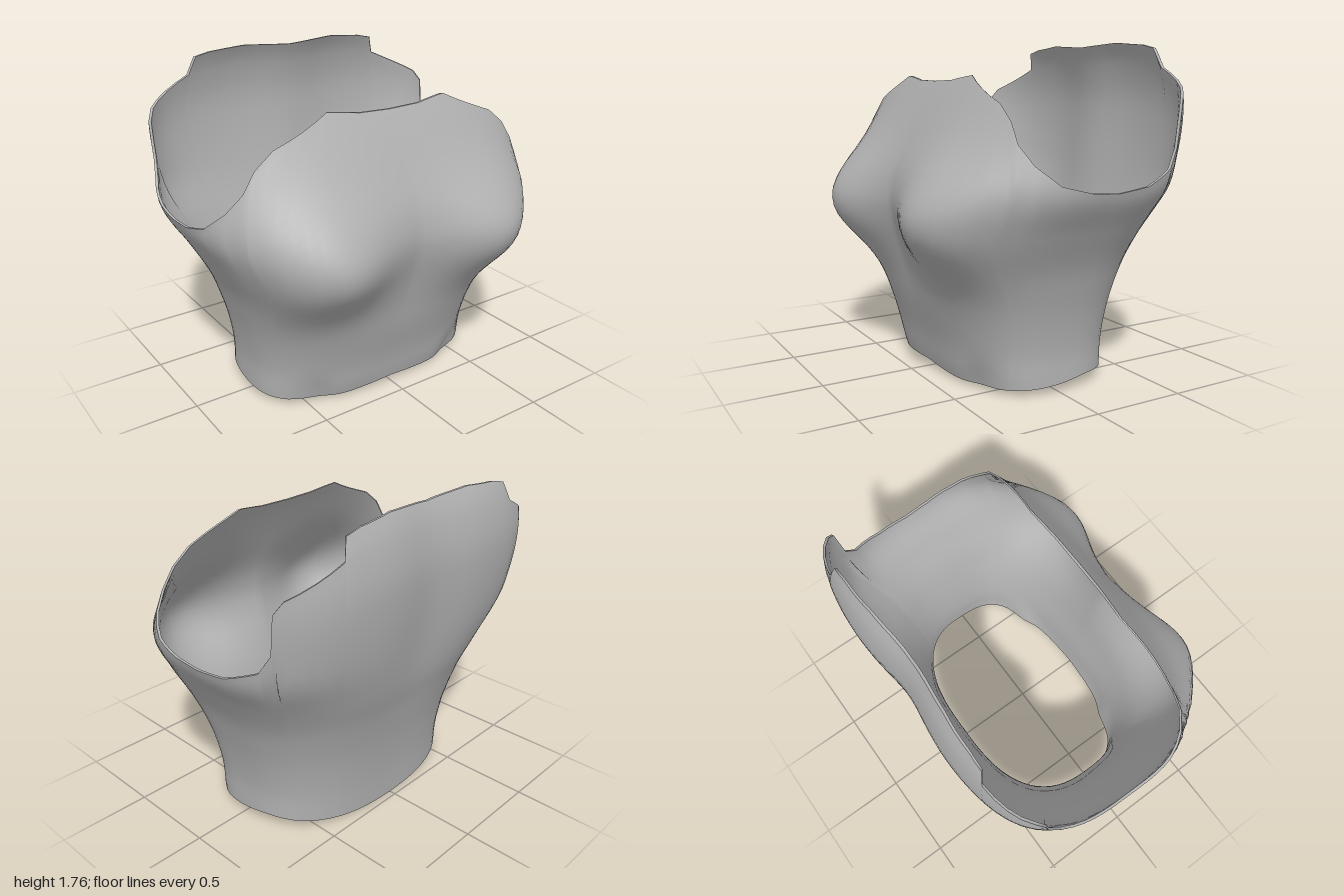
import * as THREE from 'three';

const RAD = Math.PI / 180;

// Table lookup over [key, value] pairs: straight, or eased through neighbour slopes
function lookup(table, k, smooth = true) {
  const n = table.length - 1;
  if (k <= table[0][0]) return table[0][1];
  if (k >= table[n][0]) return table[n][1];
  let i = 0;
  while (k > table[i + 1][0]) i++;
  const [k0, a] = table[i], [k1, b] = table[i + 1];
  const h = k1 - k0, t = (k - k0) / h;
  if (!smooth) return a + (b - a) * t;
  const slope = (j) => {
    const p = table[Math.max(j - 1, 0)], q = table[Math.min(j + 1, n)];
    return (q[1] - p[1]) / (q[0] - p[0]);
  };
  const t2 = t * t, t3 = t2 * t;
  return a * (2 * t3 - 3 * t2 + 1) + b * (3 * t2 - 2 * t3) +
    h * (slope(i) * (t3 - 2 * t2 + t) + slope(i + 1) * (t3 - t2));
}

// Half width, front depth and back depth against height
const WIDTH = [[0, 0.69], [0.06, 0.69], [0.2, 0.688], [0.36, 0.71], [0.5, 0.745], [0.66, 0.8],
  [0.85, 0.9], [1.03, 1.0], [1.2, 1.0], [1.5, 1.0], [1.76, 0.98]];
const FRONT = [[0, 0.38], [0.05, 0.4], [0.2, 0.43], [0.4, 0.485], [0.55, 0.515], [0.7, 0.545],
  [0.85, 0.58], [0.95, 0.593], [1.1, 0.57], [1.3, 0.48], [1.48, 0.385], [1.58, 0.325]];
const BACK = [[0, 0.465], [0.15, 0.475], [0.3, 0.495], [0.45, 0.525], [0.65, 0.585], [0.8, 0.64],
  [1.0, 0.69], [1.2, 0.722], [1.4, 0.737], [1.5, 0.733], [1.6, 0.715], [1.7, 0.685], [1.76, 0.65]];

// Upper edge from front centre, round the armhole, to back centre: x, z, height
const EDGE = [[0, 0.335, 1.55], [0.18, 0.33, 1.555], [0.36, 0.315, 1.578], [0.65, 0.33, 1.45],
  [0.76, 0.335, 1.37], [0.84, 0.34, 1.27], [0.92, 0.3, 1.18], [0.97, 0.2, 1.09], [1, 0.05, 1.05],
  [1, -0.1, 1.04], [0.99, -0.28, 1.06], [0.95, -0.46, 1.13], [0.92, -0.52, 1.23], [0.92, -0.54, 1.43],
  [0.88, -0.57, 1.49], [0.61, -0.66, 1.62], [0.6, -0.66, 1.72], [0.5, -0.65, 1.74],
  [0.29, -0.64, 1.757], [0, -0.62, 1.74]].map(([x, z, y]) => [Math.atan2(x, z) / RAD, y]);
// Hem height against angle
const HEM = [[0, 0.04], [46, 0.02], [60, 0.025], [90, 0.045], [105, 0.065], [125, 0.04], [150, 0.012], [180, 0]];

const bell = (d, s) => Math.exp(-0.5 * (d / s) ** 2);

// Point on the body surface at an angle from the front and a height, moved in by inset
function surfacePoint(deg, y, inset) {
  const a = Math.abs(deg), s = Math.sin(a * RAD), c = Math.cos(a * RAD);
  const isFront = c > 0;
  const n = isFront ? 2.7 : 2.7 + 1.3 * THREE.MathUtils.smoothstep(y, 0.7, 1.4);
  const depth = lookup(isFront ? FRONT : BACK, y);
  let r = ((s / lookup(WIDTH, y)) ** n + (Math.abs(c) / depth) ** n) ** (-1 / n);
  r -= 0.03 * bell(a - 54, 6) * bell(y - 0.04, 0.07); // pinch at the front hem corners
  r -= inset;
  const x = r * s;
  let z = r * c;
  if (isFront) {
    // rounded chest
    z += 0.205 * bell(x - 0.55, 0.25) * bell(y - 0.84, y < 0.84 ? 0.18 : 0.22) * Math.min(1, c * 2.2);
  } else {
    // hollow along the spine
    z += 0.042 * bell(x, 0.17) * THREE.MathUtils.smoothstep(y, 0.4, 1.2);
  }
  return [deg < 0 ? -x : x, y, z];
}

// Column angles: every edge corner, with finer steps between
function columnAngles() {
  const half = [];
  for (let i = 0; i < EDGE.length - 1; i++) {
    const a = EDGE[i][0], b = EDGE[i + 1][0];
    const steps = Math.max(1, Math.ceil((b - a) / 4));
    for (let k = 0; k < steps; k++) half.push(a + (b - a) * k / steps);
  }
  return [...half, 180, ...half.slice(1).reverse().map((a) => -a)];
}

// Closed band around the body; pointAt(angle, row) gives its vertices
function band(angles, rows, pointAt, flip) {
  const pos = [], index = [], w = rows + 1;
  angles.forEach((a, i) => {
    for (let j = 0; j <= rows; j++) pos.push(...pointAt(a, j));
    const p = i * w, q = ((i + 1) % angles.length) * w;
    for (let j = 0; j < rows; j++) {
      const quad = [p + j, q + j, q + j + 1, p + j, q + j + 1, p + j + 1];
      index.push(...(flip ? quad.reverse() : quad));
    }
  });
  const g = new THREE.BufferGeometry();
  g.setAttribute('position', new THREE.Float32BufferAttribute(pos, 3));
  g.setIndex(index);
  g.computeVertexNormals();
  return g;
}

export function createModel() {
  const group = new THREE.Group();
  group.name = 'sleevelessTop';
  const grey = new THREE.MeshStandardMaterial({ color: 0xb0b0b0 });
  grey.name = 'grey cloth';

  const angles = columnAngles();
  const rows = 32, thick = 0.014;
  const top = (a) => lookup(EDGE, Math.abs(a), false);
  const hem = (a) => lookup(HEM, Math.abs(a));
  const wall = (inset) => (a, j) => surfacePoint(a, hem(a) + (top(a) - hem(a)) * j / rows, inset);
  const rim = (height) => (a, j) => surfacePoint(a, height(a), j * thick);

  const add = (name, geometry) => {
    const mesh = new THREE.Mesh(geometry, grey);
    mesh.name = name;
    group.add(mesh);
  };
  add('outerCloth', band(angles, rows, wall(0), false));
  add('innerLining', band(angles, rows, wall(thick), true));
  add('upperRim', band(angles, 1, rim(top), false));
  add('hemRim', band(angles, 1, rim(hem), true));
  return group;
}
